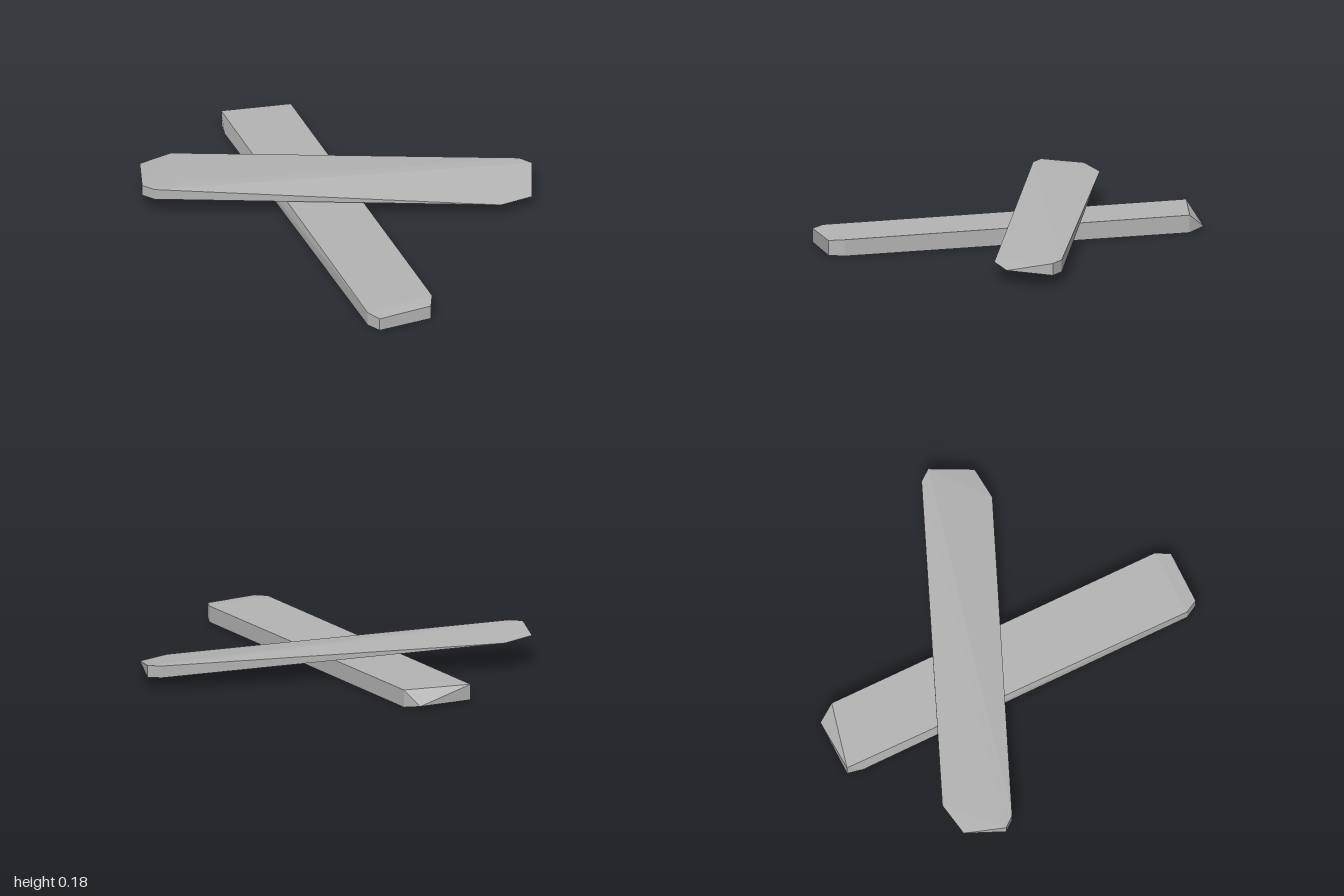
import * as THREE from 'three';
import { ConvexGeometry } from 'three/addons/geometries/ConvexGeometry.js';

// Each corner is [x, z, lowest y, highest y]; equal heights make a sharp, worn corner.
function plank(name, corners, material) {
  const points = corners.flatMap(([x, z, low, high]) =>
    low === high
      ? [new THREE.Vector3(x, low, z)]
      : [new THREE.Vector3(x, low, z), new THREE.Vector3(x, high, z)]);
  const mesh = new THREE.Mesh(new ConvexGeometry(points), material);
  mesh.name = name;
  return mesh;
}

export function createModel() {
  const group = new THREE.Group();
  group.name = 'crossedPlanks';
  const grey = new THREE.MeshStandardMaterial({ color: 0xb4b4b4, flatShading: true });
  grey.name = 'plank grey';

  // Lower plank, lying flat, with a chipped back end
  group.add(plank('lowerPlank', [
    [-0.41, 0.90, 0.01, 0.087],
    [-0.38, 0.97, 0.01, 0.081],
    [-0.10, 1.00, 0.006, 0.083],
    [-0.055, 0.93, 0.005, 0.09],
    [0.135, -0.88, 0.0, 0.091],
    [0.10, -0.97, 0.018, 0.018],
    [-0.20, -1.00, 0.006, 0.088],
    [-0.225, -0.92, 0.004, 0.004],
  ], grey));

  // Upper plank, resting across it, with two tapered corners
  group.add(plank('upperPlank', [
    [-0.89, -0.45, 0.118, 0.178],
    [-0.93, -0.51, 0.12, 0.18],
    [-0.835, -0.705, 0.163, 0.163],
    [-0.65, -0.715, 0.158, 0.158],
    [0.89, 0.135, 0.062, 0.124],
    [0.93, 0.20, 0.058, 0.12],
    [0.815, 0.405, 0.077, 0.077],
    [0.64, 0.40, 0.082, 0.082],
  ], grey));

  return group;
}
